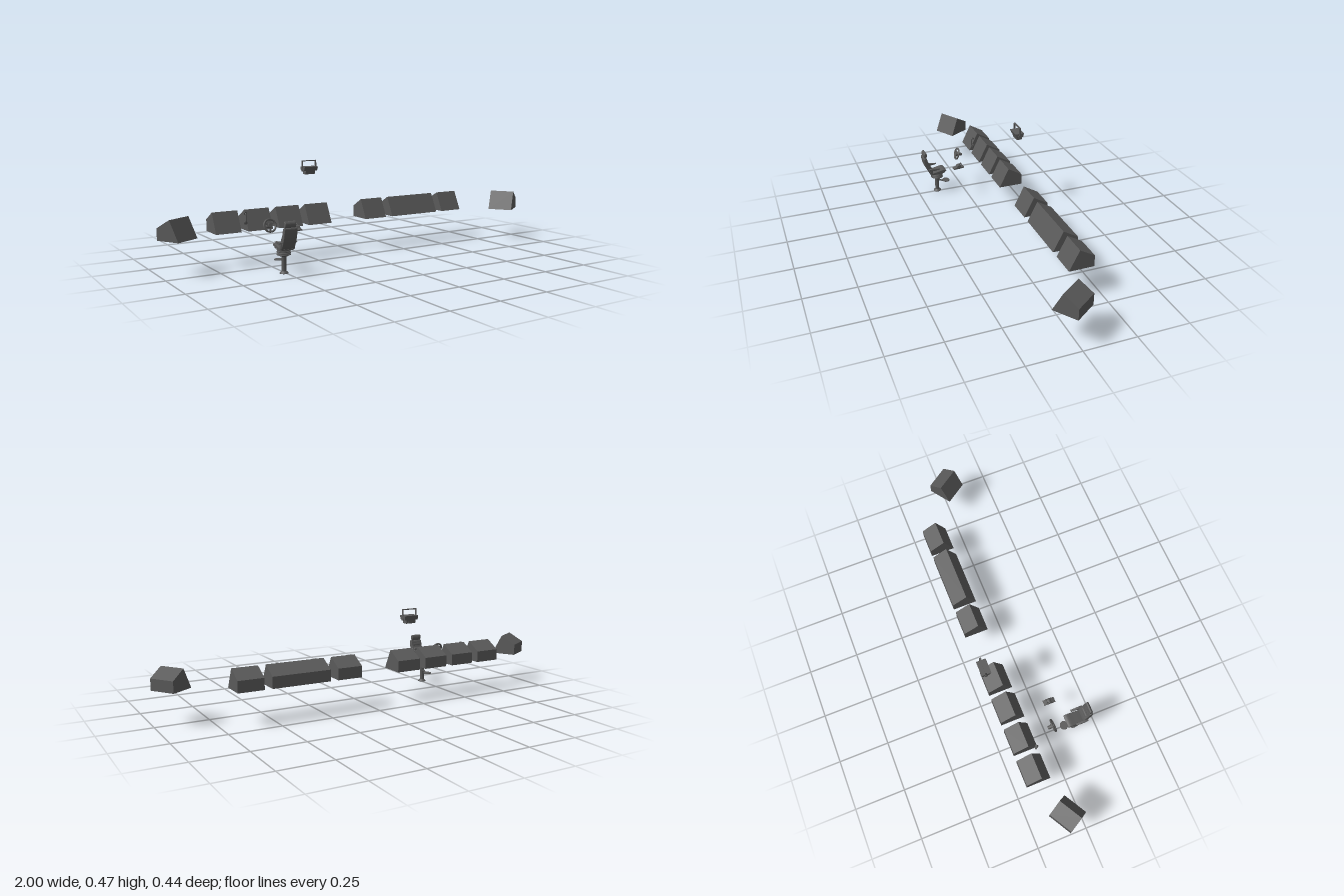
import * as THREE from 'three';

const material = new THREE.MeshStandardMaterial({ color: 0x595959, side: THREE.DoubleSide });
const flat = new THREE.MeshStandardMaterial({ color: 0x595959, flatShading: true });

function add(parent, name, geometry, x = 0, y = 0, z = 0, mat = material) {
  const mesh = new THREE.Mesh(geometry, mat);
  mesh.name = name;
  mesh.position.set(x, y, z);
  parent.add(mesh);
  return mesh;
}

function group(parent, name, x = 0, y = 0, z = 0) {
  const g = new THREE.Group();
  g.name = name;
  g.position.set(x, y, z);
  parent.add(g);
  return g;
}

// Extrudes a side profile of [z, y] points across x, centred, with an optional soft bevel
function slab(points, width, bevel = 0, smooth = false) {
  const v = points.map(([z, y]) => new THREE.Vector2(z, y));
  const shape = new THREE.Shape(smooth ? new THREE.SplineCurve([...v, v[0]]).getPoints(36).slice(0, -1) : v);
  const depth = width - 2 * bevel;
  const g = new THREE.ExtrudeGeometry(shape, {
    depth, bevelEnabled: bevel > 0, bevelSize: bevel, bevelOffset: -bevel,
    bevelThickness: bevel, bevelSegments: 3,
  });
  return g.translate(0, 0, -depth / 2).rotateY(-Math.PI / 2);
}

// Console: upright back, sloping lid, raked front panel
function addConsole(parent, name, width, x, z, turn = 0) {
  const profile = [[-0.06, 0.16], [0.061, 0.16], [0.013, 0.257], [-0.06, 0.215]];
  const mesh = add(parent, name, slab(profile, width), x, 0, z, flat);
  mesh.rotation.y = turn;
}

function addChair(parent) {
  const chair = group(parent, 'helmChair', -0.508, 0, 0);
  const zc = 0.145;
  const lathe = (pts) => new THREE.LatheGeometry(pts.map(([r, y]) => new THREE.Vector2(r, y)), 28);
  add(chair, 'pedestal', lathe([[0, 0], [0.02, 0], [0.02, 0.003], [0.012, 0.01], [0.011, 0.012],
    [0.011, 0.078], [0.017, 0.082], [0, 0.082]]), 0, 0, zc);

  // Suspension bellows
  const folds = [[0, 0.079], [0.018, 0.079]];
  for (let i = 0; i < 4; i++) {
    const y = 0.083 + i * 0.0075;
    folds.push([0.026, y], [0.033, y + 0.003], [0.026, y + 0.006]);
  }
  folds.push([0, 0.113]);
  add(chair, 'bellows', lathe(folds), 0, 0, zc);
  add(chair, 'seatPlate', new THREE.BoxGeometry(0.052, 0.004, 0.075), 0, 0.113, zc);

  add(chair, 'seatCushion', slab([[0.187, 0.112], [0.15, 0.112], [0.115, 0.118], [0.1, 0.124],
    [0.1, 0.131], [0.115, 0.135], [0.14, 0.13], [0.185, 0.12]], 0.064, 0.003, true));
  add(chair, 'backrest', slab([[0.185, 0.112], [0.2, 0.137], [0.215, 0.172], [0.222, 0.21],
    [0.215, 0.217], [0.205, 0.213], [0.196, 0.184], [0.181, 0.158], [0.175, 0.133]], 0.064, 0.003, true));
  // Padded cushions up the front of the back
  for (const [y, z] of [[0.144, 0.181], [0.171, 0.191], [0.197, 0.203]]) {
    const pad = add(chair, 'backPad', new THREE.CapsuleGeometry(0.004, 0.04, 6, 14).rotateZ(Math.PI / 2), 0, y, z);
    pad.scale.y = 2.4;
    pad.rotation.x = 0.38;
  }
  add(chair, 'headrest', slab([[0.207, 0.217], [0.202, 0.23], [0.205, 0.243], [0.212, 0.246],
    [0.219, 0.237], [0.219, 0.224], [0.214, 0.217]], 0.054, 0.003, true));

  for (const s of [-1, 1]) {
    add(chair, 'armrest', slab([[0.2, 0.15], [0.18, 0.153], [0.142, 0.149], [0.139, 0.146],
      [0.15, 0.143], [0.18, 0.141]], 0.011, 0.002, true), s * 0.036, 0, 0);
    add(chair, 'armBracket', slab([[0.19, 0.145], [0.174, 0.145], [0.176, 0.12], [0.186, 0.116]],
      0.005, 0.001), s * 0.033, 0, 0);
  }

  // Footrest arm and rounded plate
  add(chair, 'footrestArm', slab([[0.137, 0.066], [0.128, 0.065], [0.112, 0.056], [0.1, 0.055],
    [0.1, 0.052], [0.117, 0.052], [0.128, 0.058], [0.137, 0.06]], 0.008));
  const plate = add(chair, 'footrestPlate', new THREE.CylinderGeometry(0.022, 0.022, 0.004, 28), 0, 0.054, 0.094);
  plate.scale.z = 0.9;
}

function addWheel(parent) {
  const wheel = group(parent, 'steeringWheel', -0.516, 0.199, 0.024);
  wheel.rotation.x = -0.3;
  add(wheel, 'rim', new THREE.TorusGeometry(0.029, 0.0045, 12, 36));
  add(wheel, 'hub', new THREE.CylinderGeometry(0.011, 0.012, 0.012, 20).rotateX(Math.PI / 2));
  for (let i = 0; i < 3; i++) {
    const a = -Math.PI / 2 + (i * Math.PI * 2) / 3;
    const spoke = add(wheel, 'spoke', new THREE.BoxGeometry(0.03, 0.008, 0.004),
      Math.cos(a) * 0.015, Math.sin(a) * 0.015, 0);
    spoke.rotation.z = a;
  }
  add(wheel, 'shaft', new THREE.CylinderGeometry(0.01, 0.008, 0.024, 18).rotateX(Math.PI / 2), 0, 0, -0.016);
}

function addThrottle(parent) {
  const throttle = group(parent, 'throttle', -0.394, 0.172, 0.054);
  add(throttle, 'throttleBase', slab([[0.03, 0], [-0.028, 0.005], [-0.028, 0.01], [0.005, 0.014], [0.03, 0.005]],
    0.026, 0.001));
  add(throttle, 'throttleDrum', new THREE.CylinderGeometry(0.011, 0.011, 0.024, 20).rotateZ(Math.PI / 2), 0, 0.011, 0);
  for (const s of [-1, 1]) {
    const lever = add(throttle, 'throttleLever', new THREE.BoxGeometry(0.004, 0.016, 0.004), s * 0.007, 0.02, -0.007);
    lever.rotation.x = -0.8;
    add(throttle, 'throttleKnob', new THREE.SphereGeometry(0.004, 12, 8), s * 0.007, 0.025, -0.013);
  }
}

function addHandset(parent) {
  const handset = group(parent, 'handset', -0.584, 0.222, -0.092);
  const curve = new THREE.CatmullRomCurve3([[0.026, -0.004], [0.018, 0.004], [0, 0.006], [-0.018, 0.004], [-0.026, -0.004]]
    .map(([y, z]) => new THREE.Vector3(0, y, z)));
  add(handset, 'handle', new THREE.TubeGeometry(curve, 16, 0.003, 10));
  for (const s of [-1, 1])
    add(handset, 'cup', new THREE.CylinderGeometry(0.007, 0.008, 0.007, 16).rotateX(-Math.PI / 2), 0, s * 0.022, -0.003);
}

function addFloodlight(parent) {
  const lamp = group(parent, 'floodlight', -0.191, 0, -0.2);
  add(lamp, 'lampHood', slab([[0.026, 0.434], [-0.022, 0.434], [-0.018, 0.414], [0.017, 0.414]], 0.074, 0.001));
  add(lamp, 'lampBody', slab([[0.018, 0.416], [-0.018, 0.416], [-0.013, 0.396], [0.011, 0.396]], 0.053, 0.001));
  for (let i = -2; i <= 2; i++)
    add(lamp, 'coolingFin', new THREE.BoxGeometry(0.003, 0.014, 0.03), i * 0.011, 0.405, -0.001);
  // U-shaped carrying bracket with pivots
  add(lamp, 'bracketTop', new THREE.BoxGeometry(0.072, 0.004, 0.009), 0, 0.463, 0);
  for (const s of [-1, 1]) {
    add(lamp, 'bracketSide', new THREE.BoxGeometry(0.004, 0.05, 0.009), s * 0.037, 0.44, 0);
    add(lamp, 'pivot', new THREE.CylinderGeometry(0.008, 0.008, 0.007, 18).rotateZ(Math.PI / 2), s * 0.037, 0.419, 0);
  }
}

export function createModel() {
  const model = new THREE.Group();
  model.name = 'bridgeStation';

  // Row of consoles: [centre x, width]
  const row = [[-0.672, 0.125], [-0.512, 0.125], [-0.352, 0.125], [-0.193, 0.125],
    [0.133, 0.125], [0.379, 0.288], [0.623, 0.125]];
  row.forEach(([x, w]) => addConsole(model, 'console', w, x, -0.143));
  // Angled wing consoles
  addConsole(model, 'rightWingConsole', 0.125, -0.918, -0.074, Math.PI / 6);
  addConsole(model, 'leftWingConsole', 0.125, 0.914, 0.012, -0.96);

  addChair(model);
  addWheel(model);
  addThrottle(model);
  addHandset(model);
  addFloodlight(model);
  return model;
}
